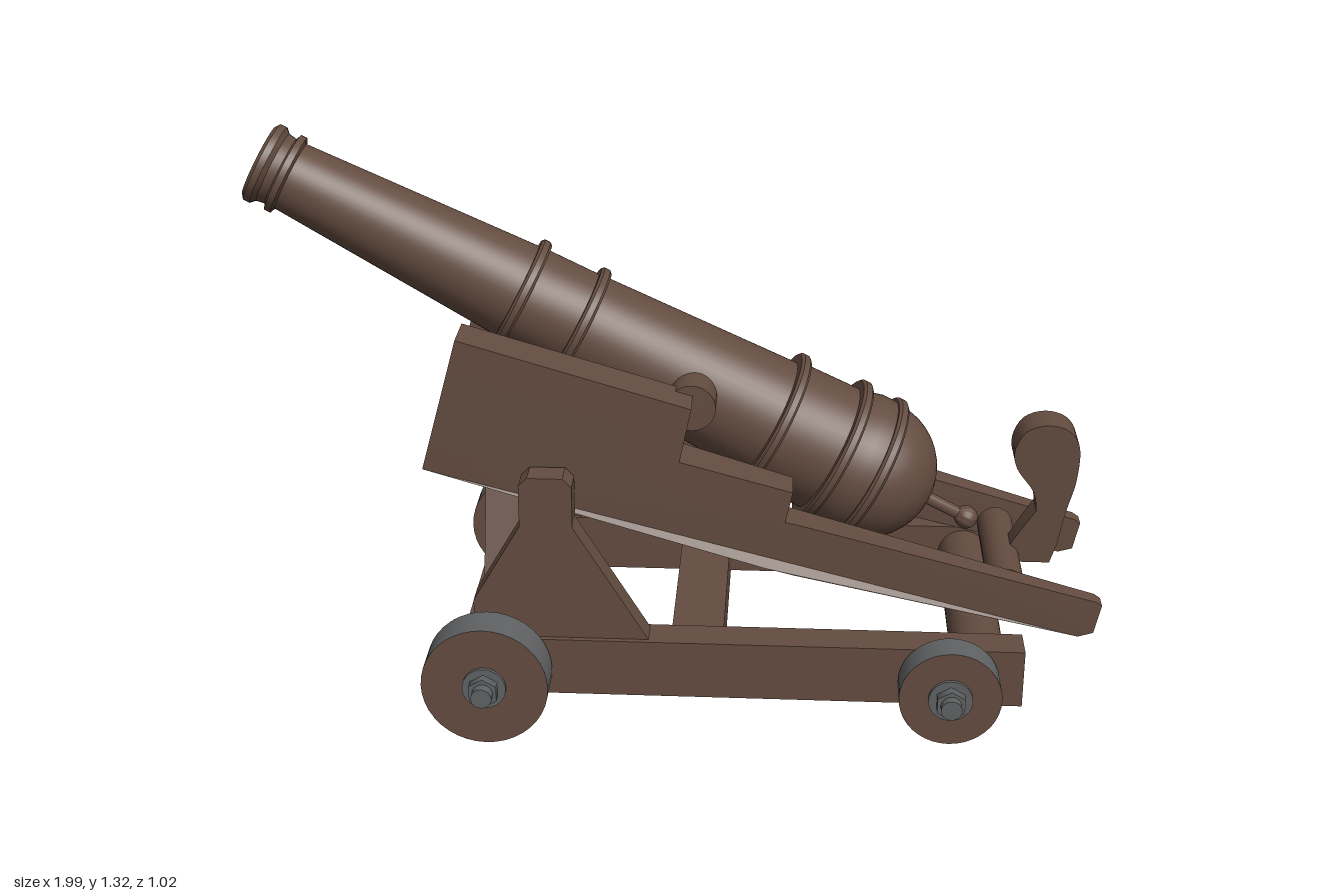
import * as THREE from 'three';
import { toCreasedNormals } from 'three/addons/utils/BufferGeometryUtils.js';

const wood = new THREE.MeshStandardMaterial({ color: 0x644c40 });
wood.name = 'brown wood';
const iron = new THREE.MeshStandardMaterial({ color: 0x606263 });
iron.name = 'grey iron';

export function createModel() {
  const model = new THREE.Group();

  const add = (name, geometry, material, x = 0, y = 0, z = 0) => {
    const mesh = new THREE.Mesh(geometry, material);
    mesh.name = name;
    mesh.position.set(x, y, z);
    model.add(mesh);
    return mesh;
  };
  const box = (name, x0, x1, y0, y1, z0, z1) =>
    add(name, new THREE.BoxGeometry(x1 - x0, y1 - y0, z1 - z0), wood,
      (x0 + x1) / 2, (y0 + y1) / 2, (z0 + z1) / 2);
  // Round bar lying along z
  const bar = (name, x, y, r, z0, z1, material = wood, sides = 32) =>
    add(name, new THREE.CylinderGeometry(r, r, Math.abs(z1 - z0), sides).rotateX(Math.PI / 2),
      material, x, y, (z0 + z1) / 2);
  // Upright plate in the xy plane; near and far give z at each point
  const plate = (name, points, near, far) => {
    const shape = new THREE.Shape(points.map(p => new THREE.Vector2(...p)));
    const g = new THREE.ExtrudeGeometry(shape, { depth: 1, bevelEnabled: false });
    const p = g.attributes.position;
    for (let i = 0; i < p.count; i++) {
      const f = p.getZ(i) > 0.5 ? far : near;
      p.setZ(i, f(p.getX(i), p.getY(i)));
    }
    return add(name, toCreasedNormals(g, 0.5), wood);
  };

  // Barrel, turned from the bore out and back to the knob
  const profile = [[0, 0.35], [0.058, 0.35], [0.058, 0], [0.085, 0], [0.096, 0.008], [0.096, 0.024],
    [0.085, 0.035], [0.082, 0.055], [0.095, 0.06], [0.095, 0.075], [0.082, 0.08]];
  const ring = (s, r, base0, base1, w = 0.013) =>
    profile.push([base0, s - w], [r - 0.006, s - w], [r, s - w + 0.006], [r, s + w - 0.006],
      [r - 0.006, s + w], [base1, s + w]);
  ring(0.668, 0.135, 0.115, 0.117);
  ring(0.82, 0.14, 0.12, 0.122);
  ring(1.33, 0.172, 0.145, 0.152);
  ring(1.49, 0.182, 0.157, 0.16);
  profile.push([0.17, 1.54]);
  ring(1.585, 0.182, 0.17, 0.166);
  for (let i = 1; i < 10; i++) {
    const a = i / 10 * Math.PI / 2;
    profile.push([0.166 * Math.cos(a), 1.59 + 0.158 * Math.sin(a)]);
  }
  profile.push([0.015, 1.75], [0.015, 1.83]);
  for (let i = 1; i <= 8; i++) {
    const a = -1 + i / 8 * (1 + Math.PI / 2);
    profile.push([Math.max(0, 0.028 * Math.cos(a)), 1.855 + 0.028 * Math.sin(a)]);
  }
  const lathe = new THREE.LatheGeometry(profile.map(p => new THREE.Vector2(...p)), 48);
  const barrel = add('barrel', toCreasedNormals(lathe, 0.6), wood, -0.947, 1.24, 0);
  barrel.rotation.z = -THREE.MathUtils.degToRad(117.5);

  // Cross pieces
  bar('trunnion', 0.05, 0.735, 0.055, -0.2, 0.2);
  bar('pivotBar', -0.27, 0.555, 0.04, -0.31, 0.31);
  bar('tailRoller', 0.785, 0.288, 0.043, -0.165, 0.165);
  box('cheekTransom', -0.43, -0.32, 0.56, 0.7, -0.18, 0.18);
  box('frontCrossBeam', -0.47, -0.34, 0.09, 0.21, -0.29, 0.29);
  box('middleCrossBeam', 0.01, 0.13, 0.09, 0.21, -0.29, 0.29);
  bar('rearCrossBeam', 0.72, 0.148, 0.062, -0.29, 0.29);

  // Stepped cheek outline
  const cheek = [[-0.556, 0.604], [0.05, 0.425], [0.225, 0.374], [0.29, 0.358], [0.95, 0.198],
    [0.985, 0.208], [1, 0.278], [0.985, 0.288], [0.29, 0.488], [0.267, 0.492], [0.283, 0.567],
    [0.027, 0.636], [0.053, 0.765], [-0.47, 0.918]];
  const bracket = [[-0.44, 0.2], [-0.04, 0.2], [-0.04, 0.22], [-0.21, 0.5], [-0.21, 0.6], [-0.23, 0.62],
    [-0.31, 0.62], [-0.33, 0.6], [-0.33, 0.5], [-0.44, 0.31]];
  const lerp = THREE.MathUtils.mapLinear, clamp = THREE.MathUtils.clamp;
  const cheekInner = x => lerp(clamp(x, 0.05, 0.29), 0.05, 0.29, 0.17, 0.195);
  const cheekOuter = x => lerp(clamp(x, 0.29, 1), 0.29, 1, 0.277, 0.235);

  for (const s of [1, -1]) {
    const side = s > 0 ? 'Left' : 'Right';
    const sidePlate = (name, pts, inner, outer) => s > 0
      ? plate(name + side, pts, inner, outer)
      : plate(name + side, pts, x => -outer(x), x => -inner(x));

    sidePlate('cheek', cheek, cheekInner, cheekOuter);
    sidePlate('bracket', bracket, () => 0.285, () => 0.347);
    box('sideBeam' + side, -0.5, 0.817, 0.08, 0.22, s > 0 ? 0.275 : -0.36, s > 0 ? 0.36 : -0.275);

    // Leaning brace under the cheeks
    const brace = add('brace' + side, new THREE.BoxGeometry(0.11, 0.48, 0.07), wood, -0.375, 0.39, s * 0.175);
    brace.rotation.x = -s * 0.35;

    // Wheels with iron tread, wooden faces and iron hubs
    for (const [name, x, y, r, z1, tip, axle] of [
      ['front', -0.406, 0.147, 0.145, 0.457, 0.51, 0.068],
      ['rear', 0.647, 0.14, 0.116, 0.44, 0.49, 0.06]]) {
      bar(name + 'Axle' + side, x, y, axle, s * 0.3, s * 0.385);
      bar(name + 'Wheel' + side, x, y, r, s * 0.367, s * z1, [iron, wood, wood], 40);
      bar(name + 'Washer' + side, x, y, 0.05, s * (z1 - 0.02), s * (z1 + 0.008), iron);
      bar(name + 'Nut' + side, x, y, 0.036, s * z1, s * (z1 + 0.03), iron, 6);
      bar(name + 'AxleTip' + side, x, y, 0.024, s * z1, s * tip, iron, 16);
    }
  }

  // Tail handle, wider at the top
  const grip = new THREE.SplineCurve([[0.86, 0.42], [0.85, 0.47], [0.808, 0.53], [0.8, 0.58], [0.825, 0.628],
    [0.875, 0.645], [0.925, 0.63], [0.95, 0.585], [0.948, 0.5], [0.93, 0.42], [0.915, 0.33]]
    .map(p => new THREE.Vector2(...p)));
  const gripHalf = (x, y) => lerp(y, 0.28, 0.645, 0.026, 0.045);
  plate('tailHandle', [[0.9, 0.28], [0.795, 0.28], [0.8, 0.32], [0.835, 0.38],
    ...grip.getPoints(40).map(p => [p.x, p.y])], (x, y) => -gripHalf(x, y), gripHalf);

  // Towing hook on the right beam
  const hook = new THREE.CatmullRomCurve3([[0.8, 0.145], [0.87, 0.145], [0.905, 0.152], [0.915, 0.18],
    [0.91, 0.205], [0.875, 0.2]].map(([x, y]) => new THREE.Vector3(x, y, -0.31)));
  add('hook', new THREE.TubeGeometry(hook, 32, 0.012, 12), iron);
  add('hookTip', new THREE.SphereGeometry(0.012, 12, 8), iron, 0.875, 0.2, -0.31);

  return model;
}
